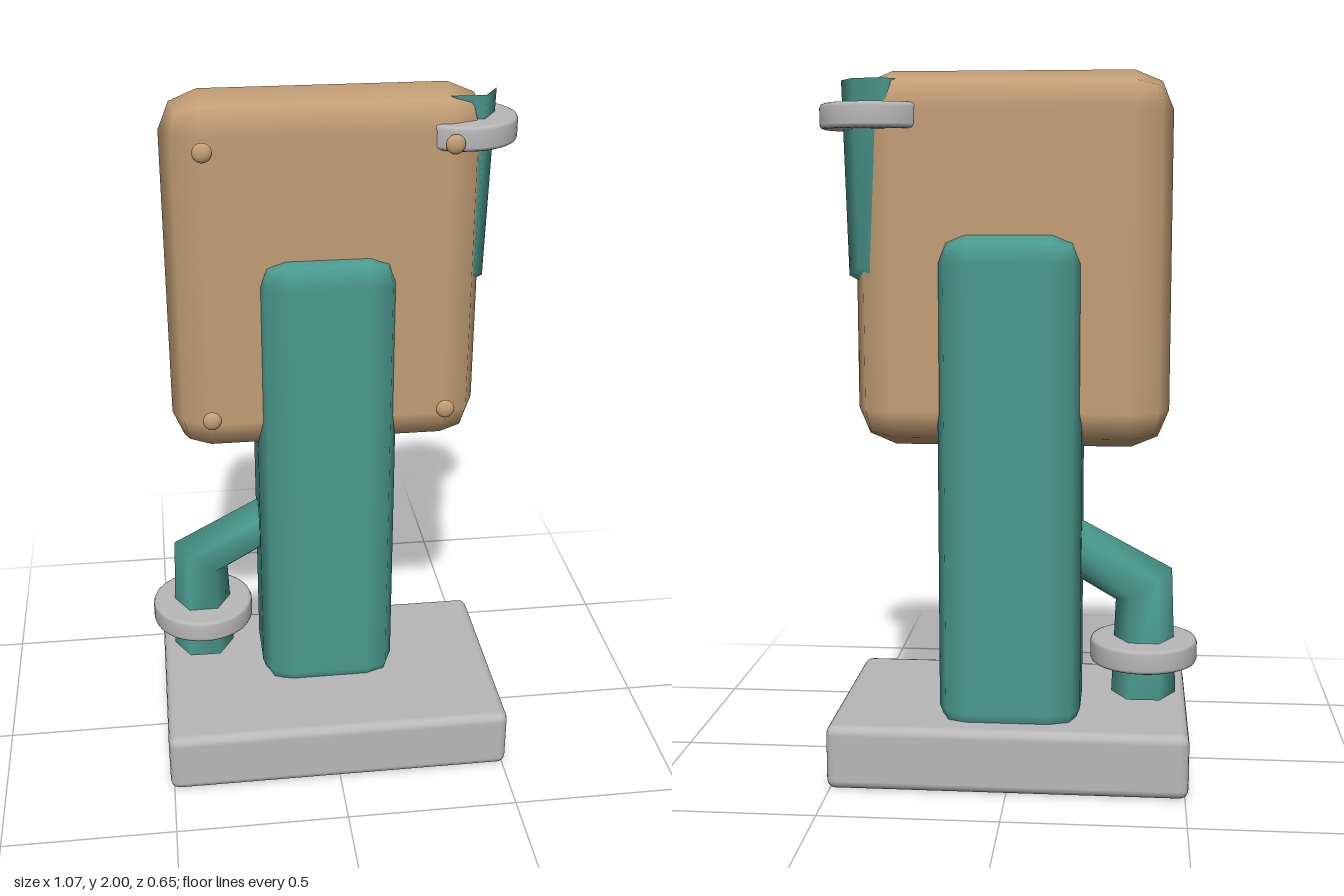
import * as THREE from 'three';
import { RoundedBoxGeometry } from 'three/addons/geometries/RoundedBoxGeometry.js';
import { mergeVertices } from 'three/addons/utils/BufferGeometryUtils.js';

const ARM_Z = -0.103;

// Open six-sided arm with one mitred elbow; path entries are [x, y, radius].
function armGeometry(path) {
  const geo = new THREE.CylinderGeometry(1, 1, 1, 6, path.length - 1, true, Math.PI / 6);
  geo.deleteAttribute('uv');
  const pts = path.map(([x, y]) => new THREE.Vector2(x, y));
  const side = (i) => {
    const d = pts[i + 1].clone().sub(pts[i]).normalize();
    return new THREE.Vector2(-d.y, d.x);
  };
  const axes = pts.map((_, i) => {
    const before = side(Math.max(i - 1, 0));
    const after = side(Math.min(i, pts.length - 2));
    const axis = before.clone().add(after).normalize();
    return axis.divideScalar(axis.dot(after));
  });
  const pos = geo.attributes.position;
  for (let i = 0; i < pos.count; i++) {
    const ring = Math.floor(i / 7);
    const r = path[ring][2];
    const s = pos.getX(i) * r;
    pos.setXYZ(i, pts[ring].x + axes[ring].x * s, pts[ring].y + axes[ring].y * s, ARM_Z + pos.getZ(i) * r);
  }
  geo.deleteAttribute('normal');
  const welded = mergeVertices(geo);
  welded.computeVertexNormals();
  return welded;
}

// Flat disc with softened rims.
function cuffGeometry() {
  const r = 0.153, h = 0.035, b = 0.012;
  const profile = [
    [0, -h], [r - b, -h], [r - b * 0.3, -h + b * 0.3], [r, -h + b],
    [r, h - b], [r - b * 0.3, h - b * 0.3], [r - b, h], [0, h],
  ].map(([x, y]) => new THREE.Vector2(x, y));
  return new THREE.LatheGeometry(profile, 40);
}

export function createModel() {
  const model = new THREE.Group();
  model.name = 'signpostFigure';
  const mat = (name, color) => {
    const m = new THREE.MeshStandardMaterial({ color });
    m.name = name;
    return m;
  };
  const teal = mat('teal', 0x4a998e);
  const tan = mat('tan', 0xc29d74);
  const grey = mat('grey', 0xb8b8b8);

  const add = (name, geo, material, x = 0, y = 0, z = 0) => {
    const mesh = new THREE.Mesh(geo, material);
    mesh.name = name;
    mesh.position.set(x, y, z);
    model.add(mesh);
    return mesh;
  };

  // Base, post and board
  add('base', new RoundedBoxGeometry(1.02, 0.185, 0.652, 2, 0.026), grey, 0, 0.0975 - 0.005, 0);
  add('post', new RoundedBoxGeometry(0.404, 1.435, 0.335, 1, 0.085), teal, 0, 0.8425, -0.097);
  add('board', new RoundedBoxGeometry(0.885, 1.045, 0.215, 1, 0.107), tan, -0.002, 1.4775, -0.0875);

  // Arms: right one hangs down, left one points up
  add('rightArm', armGeometry([[-0.1, 0.715, 0.074], [-0.38, 0.56, 0.08], [-0.382, 0.24, 0.0925]]), teal);
  add('leftArm', armGeometry([[0.1, 1.33, 0.074], [0.38, 1.485, 0.08], [0.382, 1.975, 0.0925]]), teal);

  // Cuffs
  add('rightCuff', cuffGeometry(), grey, -0.381, 0.37, ARM_Z);
  add('leftCuff', cuffGeometry(), grey, 0.381, 1.875, ARM_Z);

  // Flattened studs near the board corners
  const studGeo = new THREE.SphereGeometry(0.027, 16, 10);
  for (const x of [-0.335, 0.335]) {
    for (const y of [1.09, 1.865]) {
      add('stud', studGeo, tan, x, y, 0.051).scale.z = 0.55;
    }
  }
  return model;
}
